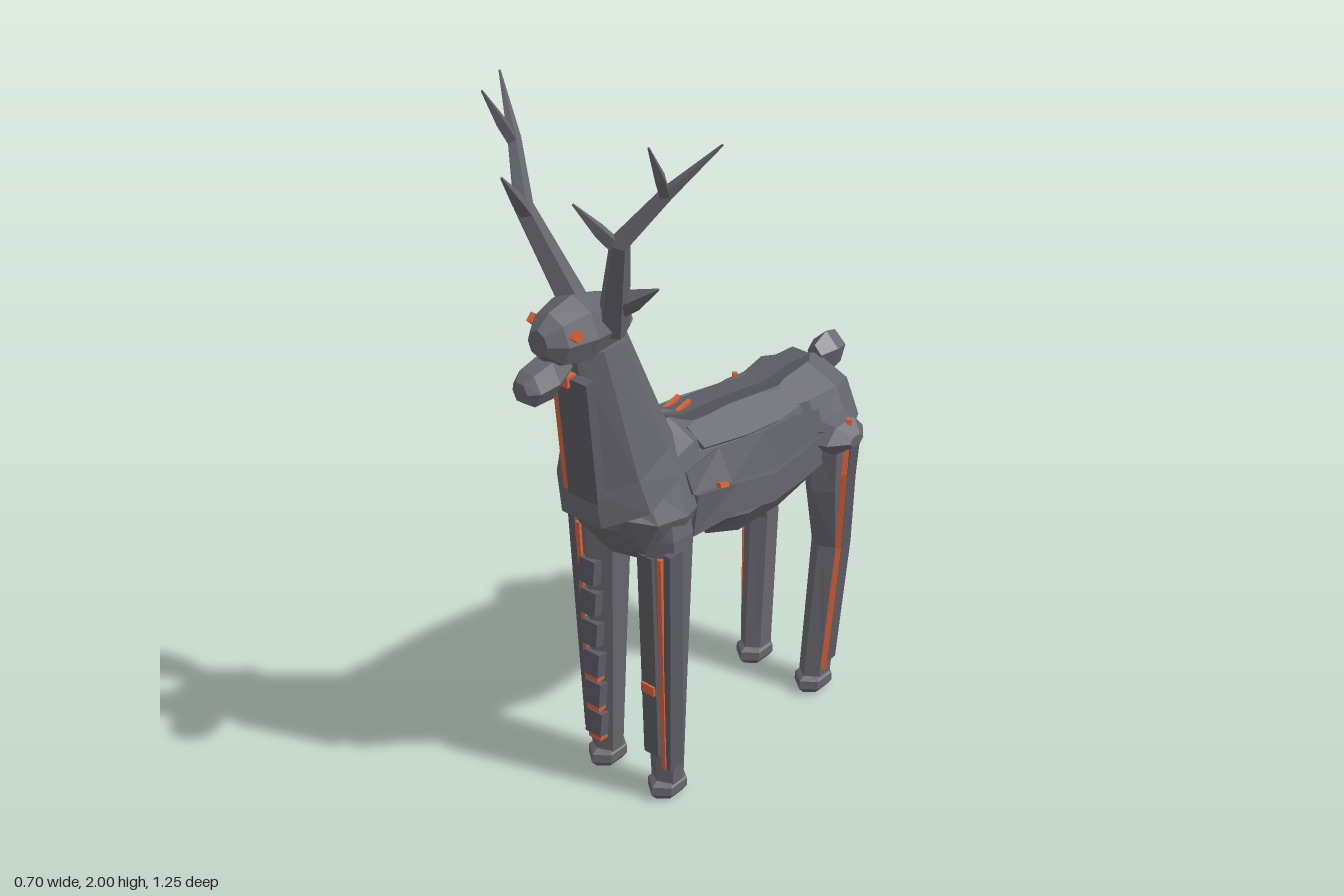
import * as THREE from 'three';

const V = (x, y, z) => new THREE.Vector3(x, y, z);
const make = (name, color) => {
  const m = new THREE.MeshStandardMaterial({ color, flatShading: true });
  m.name = name;
  return m;
};

// Closed faceted skin over a list of rings; faces are turned outward by signed volume
function loft(rings) {
  const tris = [], n = rings[0].length;
  for (let i = 0; i + 1 < rings.length; i++) {
    for (let j = 0; j < n; j++) {
      const k = (j + 1) % n, A = rings[i], B = rings[i + 1];
      tris.push([A[j], A[k], B[k]], [A[j], B[k], B[j]]);
    }
  }
  const first = rings[0], last = rings[rings.length - 1];
  for (let j = 1; j + 1 < n; j++) {
    tris.push([first[0], first[j + 1], first[j]], [last[0], last[j], last[j + 1]]);
  }
  const o = first[0];
  let volume = 0;
  for (const [a, b, c] of tris) {
    volume += a.clone().sub(o).dot(b.clone().sub(o).cross(c.clone().sub(o)));
  }
  const points = tris.flatMap(([a, b, c]) => (volume < 0 ? [a, c, b] : [a, b, c]));
  const g = new THREE.BufferGeometry().setFromPoints(points);
  g.computeVertexNormals();
  return g;
}

const around = (n, fn, phase = 0) =>
  Array.from({ length: n }, (_, i) => fn(Math.cos(phase + i * 2 * Math.PI / n), Math.sin(phase + i * 2 * Math.PI / n)));

// Rows [z, centre y, half width, half height]
const alongZ = (rows, n = 8, x = 0, phase = 0) =>
  loft(rows.map(([z, y, w, h]) => around(n, (c, s) => V(x + w * c, y + h * s, z), phase)));

// Rows [x, y, z, half width, half depth, tilt]; tilt drops the front of the ring
const alongY = (rows, n = 6, phase = Math.PI / 6) =>
  loft(rows.map(([x, y, z, w, d, t = 0]) => around(n, (c, s) => V(x + w * c, y - t * s, z + d * s), phase)));

// Tapered branch along a path
function branch(path, radii, n = 4, flat = 1) {
  const p = path.map((q) => V(...q));
  return loft(p.map((q, i) => {
    const t = p[Math.min(i + 1, p.length - 1)].clone().sub(p[Math.max(i - 1, 0)]).normalize();
    const u = V(0, 0, 1).addScaledVector(t, -t.z).normalize(), v = t.clone().cross(u);
    return around(n, (c, s) => q.clone().addScaledVector(u, c * radii[i]).addScaledVector(v, s * radii[i] * flat));
  }));
}

const torso = [
  [0.2, 0.9, 0.15, 0.16], [0.12, 0.9, 0.165, 0.17], [-0.02, 0.86, 0.178, 0.19],
  [-0.12, 0.85, 0.175, 0.195], [-0.25, 0.845, 0.16, 0.18], [-0.38, 0.845, 0.14, 0.16],
];

// Point on the torso at a given z and angle, pushed outward
function torsoPoint(z, a, off) {
  let i = 0;
  while (i < torso.length - 2 && torso[i + 1][0] > z) i++;
  const A = torso[i], B = torso[i + 1];
  const k = THREE.MathUtils.clamp((A[0] - z) / (A[0] - B[0]), 0, 1);
  const [y, w, h] = [1, 2, 3].map((j) => A[j] + (B[j] - A[j]) * k);
  return V((w + off) * Math.cos(a), y + (h + off) * Math.sin(a), z);
}

// Plate hugging the torso; rows [z, low angle, high angle]
const panel = (rows, s, off) => loft(rows.map(([z, a, b]) =>
  [[a, -0.03], [a, off], [b, off], [b, -0.03]].map(([t, o]) => {
    const q = torsoPoint(z, t, o);
    q.x *= s;
    return q;
  })));

export function createModel() {
  const root = new THREE.Group();
  const body = make('slate grey', 0x66666e);
  const plate = make('dark slate', 0x5b5b63);
  const glow = make('ember orange', 0xd9623a);
  const add = (name, geometry, material) => {
    const m = new THREE.Mesh(geometry, material);
    m.name = name;
    root.add(m);
    return m;
  };
  const box = (name, w, h, d, x, y, z, material, rx = 0, rz = 0) => {
    const m = add(name, new THREE.BoxGeometry(w, h, d), material);
    m.position.set(x, y, z);
    m.rotation.set(rx, 0, rz);
    return m;
  };

  // Trunk
  add('torso', alongZ(torso), body);
  add('chest', alongZ([[0.04, 0.94, 0.1, 0.12], [0.13, 0.92, 0.16, 0.19], [0.22, 0.9, 0.175, 0.2],
    [0.32, 0.91, 0.16, 0.14], [0.38, 0.93, 0.1, 0.06]]), body);
  add('rump', alongZ([[-0.28, 0.87, 0.11, 0.13], [-0.34, 0.86, 0.165, 0.165], [-0.44, 0.86, 0.185, 0.175],
    [-0.52, 0.87, 0.15, 0.14], [-0.575, 0.87, 0.085, 0.08]]), body);
  add('tail', alongZ([[-0.51, 1.0, 0.025, 0.035], [-0.56, 1.0, 0.046, 0.06], [-0.6, 1.0, 0.04, 0.05],
    [-0.625, 1.0, 0.012, 0.015]], 5, 0, Math.PI / 2), body);

  // Neck and throat plate
  add('neck', alongY([[0, 0.99, 0.29, 0.175, 0.15, 0.08], [0, 1.07, 0.305, 0.145, 0.14, 0.06],
    [0, 1.41, 0.375, 0.08, 0.095]], 8, Math.PI / 8), body);
  box('throatPlate', 0.1, 0.35, 0.03, 0.03, 1.175, 0.452, plate, 0.09);
  box('throatSeam', 0.02, 0.33, 0.03, -0.03, 1.17, 0.447, glow, 0.09);
  box('throatGlow', 0.05, 0.03, 0.03, 0, 1.34, 0.475, glow);

  // Head
  add('head', alongZ([[0.265, 1.43, 0.035, 0.03], [0.32, 1.45, 0.075, 0.065], [0.44, 1.46, 0.086, 0.09],
    [0.52, 1.46, 0.065, 0.072], [0.56, 1.465, 0.032, 0.035]]), body);
  add('muzzle', alongZ([[0.48, 1.385, 0.035, 0.035], [0.54, 1.368, 0.052, 0.055], [0.6, 1.362, 0.046, 0.048],
    [0.625, 1.362, 0.024, 0.028]], 6), body);

  // Spine ridge
  add('spineRidge', loft([[0.17, 1.12], [0.08, 1.08], [-0.1, 1.065], [-0.25, 1.04], [-0.37, 1.05], [-0.45, 1.045]]
    .map(([z, y]) => [V(-0.03, y - 0.07, z), V(-0.03, y, z), V(0.03, y, z), V(0.03, y - 0.07, z)])), plate);
  for (const x of [-0.032, 0.005]) box('spineGlow', 0.012, 0.01, 0.06, x, 1.08, 0.05, glow, 0.25);

  for (const s of [1, -1]) {
    // Eyes, ears and antlers
    box('eye', 0.018, 0.024, 0.024, s * 0.07, 1.485, 0.5, glow, Math.PI / 4);
    add('ear', branch([[s * 0.05, 1.49, 0.38], [s * 0.13, 1.55, 0.365], [s * 0.205, 1.6, 0.36]],
      [0.032, 0.034, 0.003], 4, 0.8), body);
    add('antlerBeam', branch([[s * 0.055, 1.45, 0.36], [s * 0.155, 1.73, 0.437], [s * 0.245, 1.86, 0.37],
      [s * 0.35, 1.985, 0.305]], [0.042, 0.026, 0.018, 0.003], 5), body);
    add('antlerFrontTine', branch([[s * 0.145, 1.71, 0.43], [s * 0.13, 1.77, 0.48], [s * 0.113, 1.852, 0.545]],
      [0.02, 0.018, 0.003]), body);
    add('antlerTopTine', branch([[s * 0.24, 1.85, 0.375], [s * 0.25, 1.91, 0.405], [s * 0.26, 2, 0.453]],
      [0.016, 0.016, 0.003]), body);

    // Flank plates with a glowing seam between them
    add('upperFlankPlate', panel([[0.19, 0.25, 0.6], [0.06, 0.25, 0.75], [-0.12, 0.2, 0.72],
      [-0.25, 0.25, 0.7], [-0.36, 0.3, 0.6]], s, 0.018), plate);
    add('middleFlankPlate', panel([[0.18, -0.5, 0.22], [0.05, -0.22, 0.22], [-0.1, -0.24, 0.17],
      [-0.25, -0.24, 0.2], [-0.36, -0.28, 0.25]], s, 0.024), body);
    add('backPlate', panel([[0.1, 0.8, 1.2], [-0.06, 0.78, 1.3], [-0.2, 0.75, 1.25], [-0.3, 0.8, 1.15]], s, 0.012), body);
    add('flankSeam', panel([[0.18, -0.72, -0.55], [0.06, -0.3, -0.2], [-0.12, -0.29, -0.2],
      [-0.3, -0.36, -0.24], [-0.37, -0.42, -0.28]], s, 0.012), glow);
    add('lowerFlankPlate', panel([[0.1, -0.75, -0.42], [-0.02, -0.72, -0.33], [-0.2, -0.72, -0.33],
      [-0.35, -0.7, -0.42]], s, 0.008), plate);
    add('flankGlow', panel([[0.11, 0.2, 0.27], [0.08, 0.2, 0.27]], s, 0.026), glow);

    // Front leg
    add('frontLeg', alongY([[s * 0.11, 0.05, 0.235, 0.045, 0.042], [s * 0.108, 0.4, 0.235, 0.058, 0.055],
      [s * 0.105, 0.84, 0.235, 0.075, 0.075], [s * 0.1, 0.92, 0.23, 0.06, 0.07]]), body);
    box('frontLegSeam', 0.014, 0.68, 0.03, s * 0.138, 0.45, 0.274, glow, 0.03, s * -0.01);
    box('frontLegOuterPlate', 0.022, 0.7, 0.05, s * 0.156, 0.46, 0.26, plate, 0.03, s * -0.03);

    // Hind leg with its hip joint
    add('hip', loft([[0.13, 0.1], [0.195, 0.08], [0.235, 0.03]].map(([x, r]) =>
      around(6, (c, k) => V(s * x, 0.87 + k * r * 0.6, -0.4 + c * r)))), body);
    add('hindLeg', alongY([[s * 0.11, 0.05, -0.41, 0.042, 0.05], [s * 0.122, 0.49, -0.442, 0.048, 0.05],
      [s * 0.135, 0.7, -0.415, 0.06, 0.078], [s * 0.145, 0.9, -0.4, 0.065, 0.08]]), body);
    add('hindLegSeam', branch([[s * 0.148, 0.08, -0.4], [s * 0.168, 0.49, -0.425], [s * 0.196, 0.75, -0.4],
      [s * 0.2, 0.92, -0.41]], [0.011, 0.011, 0.012, 0.01]), glow);
    add('hindLegPlate', loft([[0.145, 0.1, -0.425], [0.162, 0.49, -0.455], [0.185, 0.72, -0.435], [0.2, 0.86, -0.43]]
      .map(([x, y, z]) => [V(s * (x - 0.03), y, z - 0.022), V(s * (x + 0.01), y, z - 0.022),
        V(s * (x + 0.01), y, z + 0.018), V(s * (x - 0.03), y, z + 0.018)])), plate);

    // Hooves
    for (const z of [0.235, -0.405]) {
      add('hoof', alongY([[s * 0.11, 0, z, 0.034, 0.048], [s * 0.11, 0.02, z, 0.049, 0.065],
        [s * 0.11, 0.045, z, 0.049, 0.062], [s * 0.11, 0.058, z, 0.036, 0.04]]), body);
    }
  }

  // Shin plates: stacked segments on the right front leg, one long strip on the left
  for (let i = 0; i < 6; i++) {
    const y = 0.16 + i * 0.1;
    box('shinSegment', 0.055, 0.07, 0.03, -0.1, y, 0.285 + i * 0.003, plate, -0.12);
    if (i < 3) box('shinGlow', 0.042, 0.025, 0.03, -0.103, y - 0.045, 0.279 + i * 0.003, glow);
  }
  box('shinPlate', 0.05, 0.64, 0.02, 0.1, 0.47, 0.288, plate, 0.03);
  box('shinGlow', 0.045, 0.028, 0.03, 0.1, 0.37, 0.287, glow);

  return root;
}
